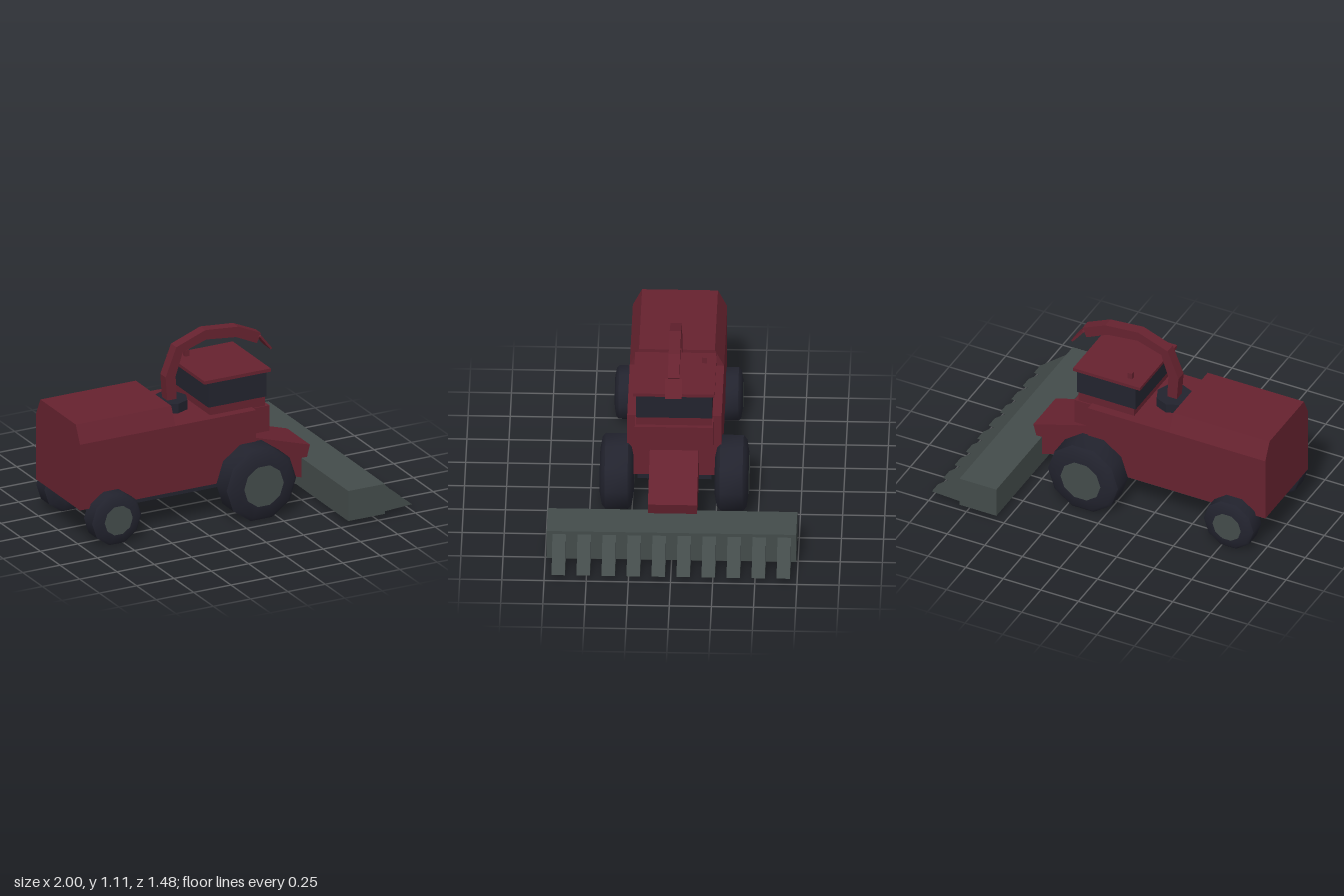
import * as THREE from 'three';
import { toCreasedNormals } from 'three/addons/utils/BufferGeometryUtils.js';

const material = (name, color) => {
  const m = new THREE.MeshStandardMaterial({ color });
  m.name = name;
  return m;
};

export function createModel() {
  const red = material('dark red paint', 0x66222f);
  const grey = material('grey metal', 0x434b4a);
  const dark = material('dark rubber and glass', 0x22232e);

  const model = new THREE.Group();
  model.name = 'forageHarvester';

  const add = (name, geometry, mat, parent = model) => {
    const mesh = new THREE.Mesh(geometry, mat);
    mesh.name = name;
    parent.add(mesh);
    return mesh;
  };
  // Box given by its x and y limits and its half width in z
  const box = (name, mat, x0, x1, y0, y1, half, z = 0) => {
    const mesh = add(name, new THREE.BoxGeometry(x1 - x0, y1 - y0, half * 2), mat);
    mesh.position.set((x0 + x1) / 2, (y0 + y1) / 2, z);
    return mesh;
  };
  // Outline in the xy plane, extruded symmetrically in z
  const slab = (points, half) => {
    const shape = new THREE.Shape(points.map(([x, y]) => new THREE.Vector2(x, y)));
    const g = new THREE.ExtrudeGeometry(shape, { depth: half * 2, bevelEnabled: false });
    return g.translate(0, 0, -half);
  };

  // Body and chassis
  box('body', red, -1, 0.18, 0.23, 0.65, 0.28);
  box('chassis', dark, -0.88, 0.15, 0.18, 0.23, 0.22);

  // Rear hood with sloping sides
  const hood = slab([[-0.28, 0], [0.28, 0], [0.225, 0.11], [-0.225, 0.11]], 0.32);
  hood.rotateY(Math.PI / 2);
  add('rearHood', hood, red).position.set(-0.68, 0.65, 0);

  // Cab
  box('cabFront', red, 0.17, 0.295, 0.48, 0.642, 0.232);
  box('cabBase', red, -0.1, 0.27, 0.64, 0.7, 0.225);
  box('cabGlass', dark, -0.11, 0.28, 0.7, 0.862, 0.225);
  box('cabRoof', red, -0.147, 0.298, 0.86, 0.881, 0.242);
  box('beacon', red, -0.065, -0.037, 0.88, 0.92, 0.014, -0.172);

  // Discharge spout on its turntable
  const turntable = toCreasedNormals(new THREE.CylinderGeometry(0.11, 0.11, 0.06, 8), 0.7);
  add('turntable', turntable, dark).position.set(-0.252, 0.68, 0);
  add('spout', slab([
    [-0.285, 0.7], [-0.222, 0.7], [-0.23, 0.855], [-0.182, 1.0], [-0.025, 1.052],
    [0.175, 1.03], [0.315, 0.965], [0.342, 1.025], [0.19, 1.094], [-0.03, 1.113],
    [-0.225, 1.04], [-0.297, 0.86],
  ], 0.034), red);
  add('spoutDeflector', slab([
    [0.325, 1.008], [0.4, 0.914], [0.41, 0.921], [0.336, 1.016],
  ], 0.05), red);

  // Sloping feeder between body and header
  add('feederHouse', slab([[0.06, 0.26], [0.558, 0.1], [0.612, 0.3], [0.1, 0.457]], 0.145), red);

  // Header with a row of wedge-shaped dividers
  box('header', grey, 0.555, 0.8, 0.034, 0.226, 0.74);
  const wedge = slab([[0.79, 0.034], [0.8, 0.034], [1, 0.046], [0.8, 0.205], [0.79, 0.205]], 0.04);
  for (let i = 0; i < 10; i++) {
    add('divider', wedge, grey).position.z = -0.669 + i * 0.1483;
  }

  // Ten-sided wheels with bevelled shoulders and bulging sidewalls
  const wheel = (name, x, y, z, r, half, side) => {
    const group = new THREE.Group();
    group.name = name;
    const profile = [
      [0, -half], [0.58 * r, -half], [0.9 * r, -half * 0.87], [r, -half * 0.68],
      [r, half * 0.68], [0.9 * r, half * 0.87], [0.58 * r, half], [0, half],
    ].map(([a, b]) => new THREE.Vector2(a, b));
    const tyre = new THREE.LatheGeometry(profile, 10, Math.PI / 2).rotateX(Math.PI / 2);
    add('tyre', toCreasedNormals(tyre, 0.7), dark, group);
    add('hub', new THREE.CircleGeometry(0.57 * r, 10), grey, group).position.z = half + 0.002;
    group.position.set(x, y, z * side);
    if (side < 0) group.rotation.y = Math.PI;
    model.add(group);
  };
  for (const side of [1, -1]) {
    const label = side > 0 ? 'Left' : 'Right';
    wheel('frontWheel' + label, 0.147, 0.228, 0.341, 0.233, 0.1, side);
    wheel('rearWheel' + label, -0.794, 0.163, 0.303, 0.165, 0.076, side);
  }

  return model;
}
